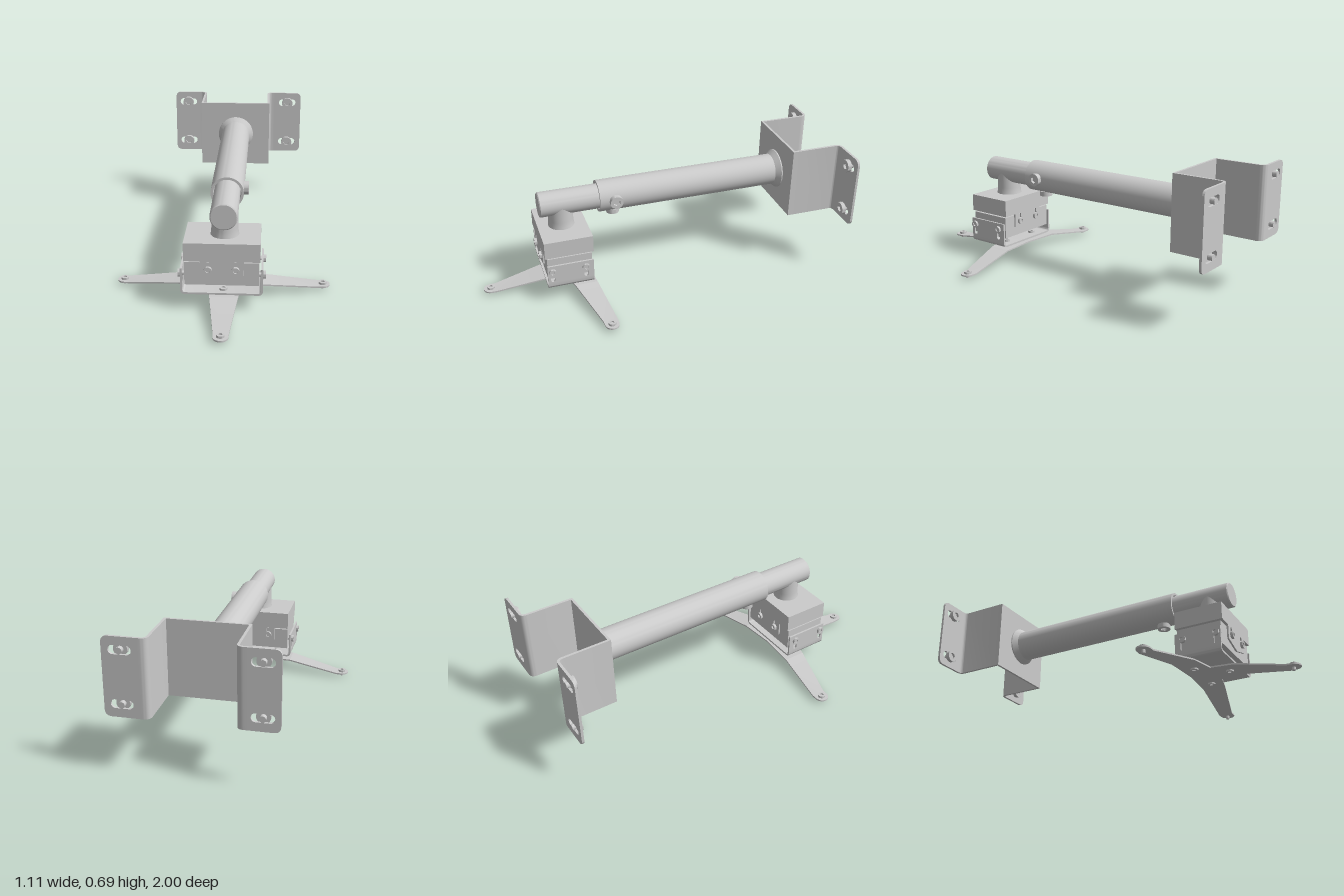
import * as THREE from 'three';
import { toCreasedNormals } from 'three/addons/utils/BufferGeometryUtils.js';

const grey = new THREE.MeshStandardMaterial({ color: 0xcccccc, side: THREE.DoubleSide });
const V2 = (x, y) => new THREE.Vector2(x, y);
const UP = new THREE.Vector3(0, 1, 0);

function mesh(parent, name, geometry) {
  const m = new THREE.Mesh(toCreasedNormals(geometry, 0.6), grey);
  m.name = name;
  parent.add(m);
  return m;
}

const extrude = (shape, depth) =>
  new THREE.ExtrudeGeometry(shape, { depth, bevelEnabled: false, curveSegments: 16 });

function box(parent, name, x0, x1, y0, y1, z0, z1) {
  const g = new THREE.BoxGeometry(x1 - x0, y1 - y0, z1 - z0);
  mesh(parent, name, g.translate((x0 + x1) / 2, (y0 + y1) / 2, (z0 + z1) / 2));
}

// Stadium-shaped hole between two arc centres
function slot(x0, y0, x1, y1, r) {
  const a = Math.atan2(y1 - y0, x1 - x0);
  const p = new THREE.Path();
  p.absarc(x1, y1, r, a - Math.PI / 2, a + Math.PI / 2);
  p.absarc(x0, y0, r, a + Math.PI / 2, a + Math.PI * 1.5);
  p.closePath();
  return p;
}

// Bent sheet metal: a polyline with rounded corners, thickened both ways
function bentSheet(pts, radii, t, depth) {
  const path = [];
  pts.forEach((p, i) => {
    const r = radii[i];
    if (!r) return path.push({ p, miter: true });
    const a = pts[i - 1].clone().sub(p).normalize().multiplyScalar(r).add(p);
    const b = pts[i + 1].clone().sub(p).normalize().multiplyScalar(r).add(p);
    new THREE.QuadraticBezierCurve(a, p, b).getPoints(8).forEach((q) => path.push({ p: q }));
  });
  const side = (s) => path.map(({ p }, i) => {
    const d0 = p.clone().sub(path[Math.max(i - 1, 0)].p).normalize();
    const d1 = path[Math.min(i + 1, path.length - 1)].p.clone().sub(p).normalize();
    const d = d0.clone().add(d1).normalize();
    const c = Math.max(d.dot(d1.lengthSq() ? d1 : d0), 0.5);
    return V2(p.x - d.y * s * t / 2 / c, p.y + d.x * s * t / 2 / c);
  });
  return extrude(new THREE.Shape([...side(1), ...side(-1).reverse()]), depth);
}

// Socket-head bolt: seat at pos, head pointing along dir
function bolt(parent, name, pos, dir, r, h, shankR, shankL) {
  const g = new THREE.Group();
  g.name = name;
  const ring = new THREE.Shape();
  ring.absarc(0, 0, r, 0, Math.PI * 2);
  const hex = [];
  for (let i = 0; i < 6; i++) hex.push(V2(Math.cos(i * Math.PI / 3), Math.sin(i * Math.PI / 3)).multiplyScalar(r * 0.55));
  ring.holes.push(new THREE.Path(hex));
  mesh(g, 'head', extrude(ring, h).rotateX(-Math.PI / 2));
  mesh(g, 'socketFloor', new THREE.CylinderGeometry(r * 0.9, r * 0.9, h * 0.4, 24).translate(0, h * 0.2, 0));
  if (shankL) mesh(g, 'shank', new THREE.CylinderGeometry(shankR, shankR, shankL, 20).translate(0, -shankL / 2, 0));
  g.position.set(...pos);
  g.quaternion.setFromUnitVectors(UP, new THREE.Vector3(...dir));
  parent.add(g);
}

// Tapered arm sloping down to a flat round tip; place(u, v, y) maps to the model
function armGeometry(u0, a0, b0, uTip, vTip, r, place) {
  const rows = [[u0, a0, b0, 0.068], [uTip - 0.03, vTip - r - 0.001, vTip + r + 0.001, 0.021]];
  for (let i = 0; i <= 8; i++) {
    const k = i / 8 * Math.PI / 2, w = r * Math.cos(k);
    rows.push([uTip + r * Math.sin(k), vTip - w, vTip + w, 0.021]);
  }
  const pos = [], idx = [];
  rows.forEach(([u, a, b, y], i) => {
    for (const [v, e] of [[a, 0.004], [b, 0.004], [b, -0.004], [a, -0.004]]) pos.push(...place(u, v, y + e));
    if (i) for (let k = 0; k < 4; k++) {
      const p = i * 4 + k, q = i * 4 + (k + 1) % 4;
      idx.push(p - 4, p, q, p - 4, q, q - 4);
    }
  });
  const g = new THREE.BufferGeometry();
  g.setAttribute('position', new THREE.Float32BufferAttribute(pos, 3));
  g.setIndex(idx);
  return g;
}

export function createModel() {
  const model = new THREE.Group();
  model.name = 'ceilingMountArm';
  const cx = 0.0165, cy = 0.497;

  // Wall bracket: bent channel plus two slotted flanges
  const bracket = new THREE.Group();
  bracket.name = 'wallBracket';
  model.add(bracket);
  const channel = [V2(-0.235, 0.982), V2(-0.193, 0.982), V2(-0.193, 0.708), V2(0.219, 0.708), V2(0.219, 0.982), V2(0.262, 0.982)];
  mesh(bracket, 'channel', bentSheet(channel, [0, 0.028, 0, 0, 0.028, 0], 0.013, 0.395)
    .rotateX(-Math.PI / 2).translate(0, 0.3, 0));
  for (const [inner, outer, bx] of [[-0.235, -0.39, -0.308], [0.262, 0.43, 0.343]]) {
    const d = Math.sign(outer) * 0.035, s = new THREE.Shape();
    s.moveTo(inner, 0.3);
    s.lineTo(outer - d, 0.3);
    s.quadraticCurveTo(outer, 0.3, outer, 0.335);
    s.lineTo(outer, 0.66);
    s.quadraticCurveTo(outer, 0.695, outer - d, 0.695);
    s.lineTo(inner, 0.695);
    for (const y of [0.366, 0.631]) {
      s.holes.push(slot(bx - 0.033, y, bx + 0.033, y, 0.022));
      bolt(bracket, 'wallBolt', [bx, y, -0.975], [0, 0, 1], 0.034, 0.022, 0.016, 0.025);
    }
    mesh(bracket, 'flange', extrude(s, 0.013).translate(0, 0, -0.9885));
  }

  // Telescopic arm: hollow outer tube with a flared root, inner tube inside
  const outerTube = [V2(0.108, -0.702), V2(0.108, -0.695), V2(0.086, -0.668), V2(0.086, 0.345), V2(0.073, 0.345), V2(0.073, 0.1)];
  mesh(model, 'outerTube', new THREE.LatheGeometry(outerTube, 48).rotateX(Math.PI / 2).translate(cx, cy, 0));
  const innerTube = [V2(0, 0.1), V2(0.068, 0.1), V2(0.068, 0.66), V2(0.063, 0.665), V2(0, 0.665)];
  mesh(model, 'innerTube', new THREE.LatheGeometry(innerTube, 48).rotateX(Math.PI / 2).translate(cx, cy, 0));
  bolt(model, 'sideClampScrew', [cx + 0.083, cy, 0.26], [1, 0, 0], 0.035, 0.026, 0.018, 0.015);
  bolt(model, 'lowerClampScrew', [cx, cy - 0.083, 0.26], [0, -1, 0], 0.035, 0.026, 0.018, 0.015);
  const neck = [V2(0.072, 0.36), V2(0.069, 0.375), V2(0.067, 0.4), V2(0.067, cy)];
  mesh(model, 'neck', new THREE.LatheGeometry(neck, 40).translate(cx, 0, 0.547));

  // Tilt head: upper block with slotted tongues front and back
  const head = new THREE.Group();
  head.name = 'tiltHead';
  model.add(head);
  box(head, 'upperBlock', -0.18, 0.195, 0.268, 0.363, 0.414, 0.676);
  box(head, 'lowerBlock', -0.177, 0.189, 0.137, 0.259, 0.424, 0.666);
  const tongue = new THREE.Shape([V2(-0.1, 0.27), V2(-0.1, 0.19), V2(0.008, 0.16), V2(0.115, 0.19), V2(0.115, 0.27)]);
  for (const x of [-0.06, 0.075]) tongue.holes.push(slot(x, 0.223, x, 0.256, 0.011));
  for (const [z, d] of [[0.667, 1], [0.414, -1]]) {
    mesh(head, 'tongue', extrude(tongue, 0.009).translate(0, 0, z));
    for (const x of [-0.06, 0.075])
      bolt(head, 'tongueBolt', [x, 0.223, d > 0 ? 0.676 : 0.414], [0, 0, d], 0.02, 0.014, 0.01, 0.02);
  }

  // Cradle: U-shaped sheet with slotted side walls
  const cradle = new THREE.Group();
  cradle.name = 'cradle';
  model.add(cradle);
  const u = [V2(-0.193, 0.125), V2(-0.193, 0.09), V2(0.205, 0.09), V2(0.205, 0.125)];
  mesh(cradle, 'cradleBase', bentSheet(u, [0, 0.02, 0.02, 0], 0.01, 0.25).translate(0, 0, 0.42));
  const wall = new THREE.Shape([V2(-0.67, 0.125), V2(-0.42, 0.125), V2(-0.42, 0.226), V2(-0.67, 0.226)]);
  for (const z of [0.463, 0.644]) wall.holes.push(slot(-z, 0.14, -z, 0.193, 0.011));
  for (const [x, d] of [[-0.193, -1], [0.205, 1]]) {
    mesh(cradle, 'cradleWall', extrude(wall, 0.01).rotateY(Math.PI / 2).translate(x - 0.005, 0, 0));
    for (const z of [0.463, 0.644])
      bolt(cradle, 'wallScrew', [x + d * 0.005, 0.19, z], [d, 0, 0], 0.02, 0.013, 0.01, 0.02);
  }

  // Three-armed plate under the cradle
  const spider = new THREE.Group();
  spider.name = 'spiderPlate';
  model.add(spider);
  const hub = new THREE.Shape([V2(-0.2, -0.402), V2(0.004, -0.418), V2(0.2, -0.402), V2(0.2, -0.524), V2(0.1, -0.55),
    V2(0.087, -0.67), V2(-0.055, -0.67), V2(-0.07, -0.555), V2(-0.2, -0.524)]);
  mesh(spider, 'hub', extrude(hub, 0.008).rotateX(-Math.PI / 2).translate(0, 0.064, 0));
  for (const s of [-1, 1]) {
    mesh(spider, 'sideArm', armGeometry(0.2, 0.402, 0.524, 0.52, 0.407, 0.037, (a, v, y) => [s * a, y, v]));
    bolt(spider, 'tipBolt', [s * 0.52, 0.023, 0.407], [0, 1, 0], 0.02, 0.014, 0.009, 0.023);
  }
  mesh(spider, 'frontArm', armGeometry(0.67, -0.055, 0.087, 0.96, 0.018, 0.037, (a, v, y) => [v, y, a]));
  bolt(spider, 'tipBolt', [0.018, 0.023, 0.958], [0, 1, 0], 0.02, 0.014, 0.009, 0.023);

  // Bolts joining cradle and spider, with a head above and below
  for (const [x, z] of [[-0.095, 0.478], [0.127, 0.478], [0.013, 0.628]]) {
    bolt(model, 'hubBolt', [x, 0.094, z], [0, 1, 0], 0.02, 0.012, 0.01, 0.03);
    bolt(model, 'hubNut', [x, 0.07, z], [0, -1, 0], 0.02, 0.014, 0.01, 0);
  }
  return model;
}
